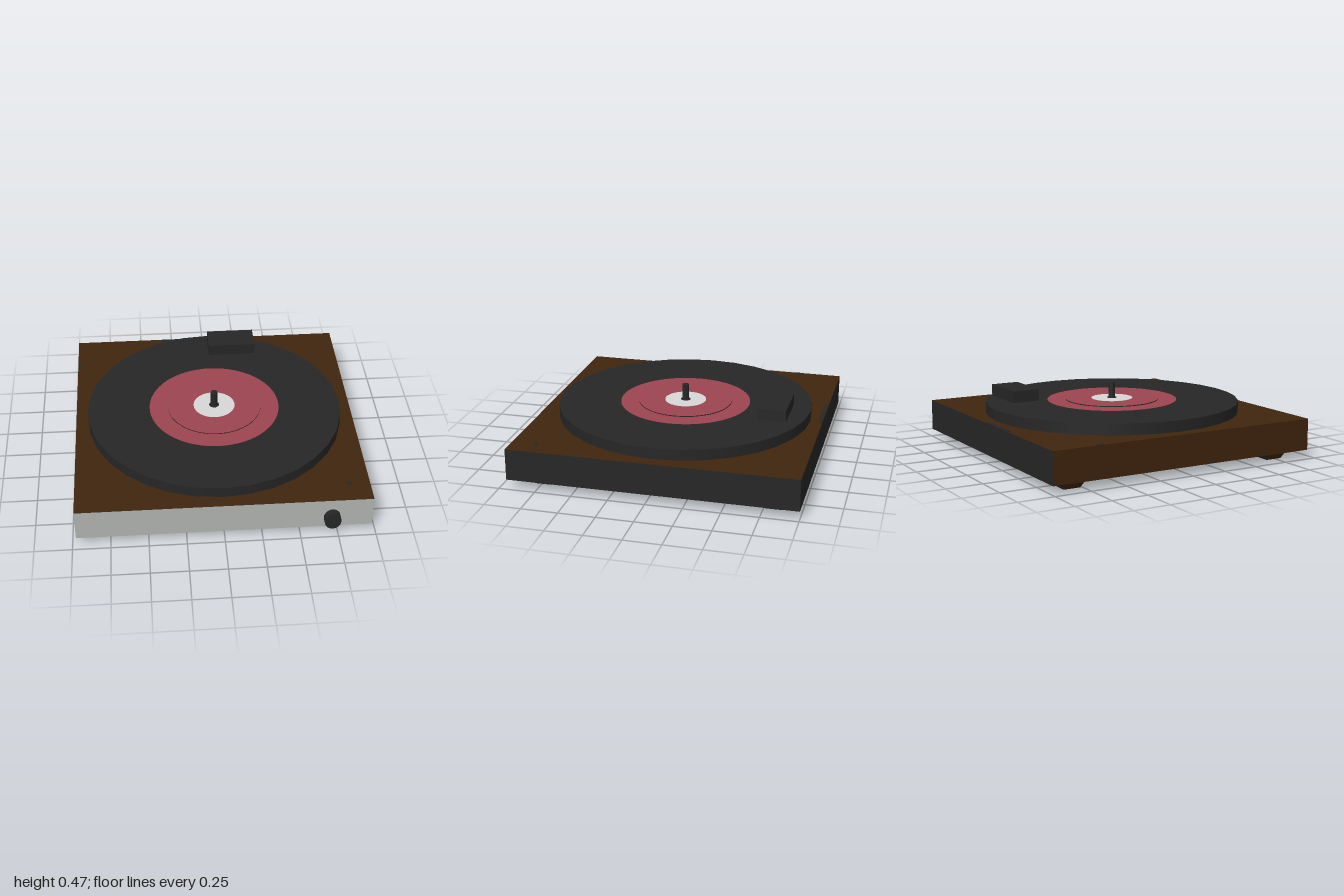
import * as THREE from 'three';

function material(name, color) {
  const m = new THREE.MeshStandardMaterial({ color });
  m.name = name;
  return m;
}

export function createModel() {
  const model = new THREE.Group();
  model.name = 'turntable';

  const charcoal = material('charcoal', 0x262626);
  const walnut = material('walnut', 0x40250f);
  const silver = material('silver', 0xb2b4b2);
  const red = material('labelRed', 0x9d4550);
  const white = material('labelWhite', 0xd8d8d8);

  const axisZ = -0.025; // platter centre

  function add(name, geometry, mat, x, y, z) {
    const mesh = new THREE.Mesh(geometry, mat);
    mesh.name = name;
    mesh.position.set(x, y, z);
    model.add(mesh);
    return mesh;
  }

  // Upright disc given by its bottom and top heights
  function disc(name, radius, y0, y1, mat, segments = 32) {
    const geometry = new THREE.CylinderGeometry(radius, radius, y1 - y0, segments);
    return add(name, geometry, mat, 0, (y0 + y1) / 2, axisZ);
  }

  // Plinth: walnut top and left flank, silver front, dark elsewhere
  // (face order: +x, -x, +y, -y, +z, -z)
  add('plinth', new THREE.BoxGeometry(1.95, 0.217, 1.955),
    [charcoal, walnut, walnut, charcoal, silver, charcoal], 0, 0.1665, -0.0225);

  // Tapered feet
  for (const x of [-0.825, 0.805]) {
    for (const z of [-0.822, 0.74]) {
      const geometry = new THREE.BoxGeometry(0.175, 0.058, 0.175);
      const p = geometry.attributes.position;
      for (let i = 0; i < p.count; i++) {
        if (p.getY(i) < 0) {
          p.setX(i, p.getX(i) * 0.66);
          p.setZ(i, p.getZ(i) * 0.66);
        }
      }
      geometry.computeVertexNormals();
      add('foot', geometry, [charcoal, walnut, charcoal, charcoal, walnut, charcoal], x, 0.029, z);
    }
  }

  // Platter with record, label and raised centre
  disc('platter', 0.89, 0.275, 0.35, charcoal);
  disc('recordLabel', 0.456, 0.349, 0.352, red, 64);
  disc('raisedCentre', 0.328, 0.35, 0.358, [charcoal, red, charcoal]);
  disc('labelCentre', 0.145, 0.357, 0.36, white, 48);
  disc('spindleCollar', 0.035, 0.359, 0.362, charcoal, 16);
  disc('spindle', 0.024, 0.35, 0.47, charcoal, 16);

  // Pickup head above the platter
  add('pickupHead', new THREE.BoxGeometry(0.34, 0.08, 0.195), charcoal, 0.172, 0.43, -0.698);

  // Slightly oval front knob
  const knob = new THREE.CylinderGeometry(0.055, 0.055, 0.046, 24);
  knob.rotateX(Math.PI / 2).scale(1, 1.17, 1);
  add('frontKnob', knob, charcoal, 0.705, 0.136, 0.977);

  // Small dark inlays on the plinth top
  add('rearInlay', new THREE.BoxGeometry(0.36, 0.004, 0.025), charcoal, -0.16, 0.275, -0.985);
  add('sideInlay', new THREE.BoxGeometry(0.02, 0.004, 0.05), charcoal, -0.964, 0.275, -0.67);
  add('cornerInlay', new THREE.CylinderGeometry(0.018, 0.018, 0.004, 12), charcoal, 0.835, 0.275, 0.785);

  return model;
}
